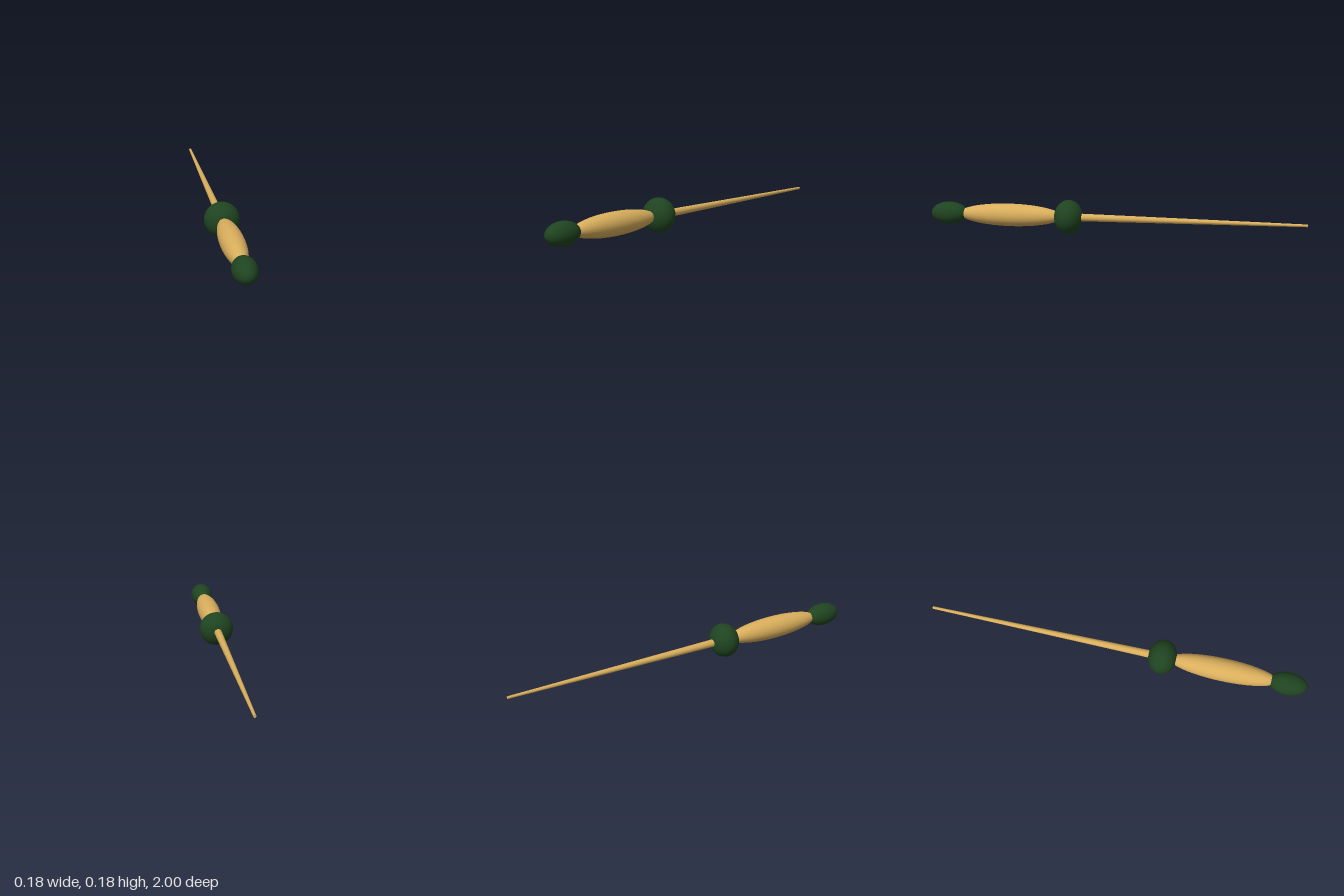
import * as THREE from 'three';

const AXIS_Y = 0.091;

export function createModel() {
  const group = new THREE.Group();
  const wood = new THREE.MeshStandardMaterial({ color: 0xd9ae5c });
  const green = new THREE.MeshStandardMaterial({ color: 0x1f4420 });

  // Every part is round about the long z axis
  function add(name, geometry, material, z) {
    const mesh = new THREE.Mesh(geometry, material);
    mesh.name = name;
    mesh.position.set(0, AXIS_Y, z);
    group.add(mesh);
  }
  const ellipsoid = (radius, halfLength) =>
    new THREE.SphereGeometry(1, 40, 28).scale(radius, halfLength, radius).rotateX(Math.PI / 2);

  add('pommel', ellipsoid(0.06, 0.1), green, 0.9);
  add('handle', ellipsoid(0.06, 0.285), wood, 0.56);
  add('guard', ellipsoid(0.09, 0.075), green, 0.24);

  // Tapered shaft, from inside the guard to the thin tip at the back
  const length = 1.24;
  const shaft = new THREE.CylinderGeometry(0.021, 0.007, length, 20).rotateX(Math.PI / 2);
  add('shaft', shaft, wood, -1 + length / 2);

  return group;
}
